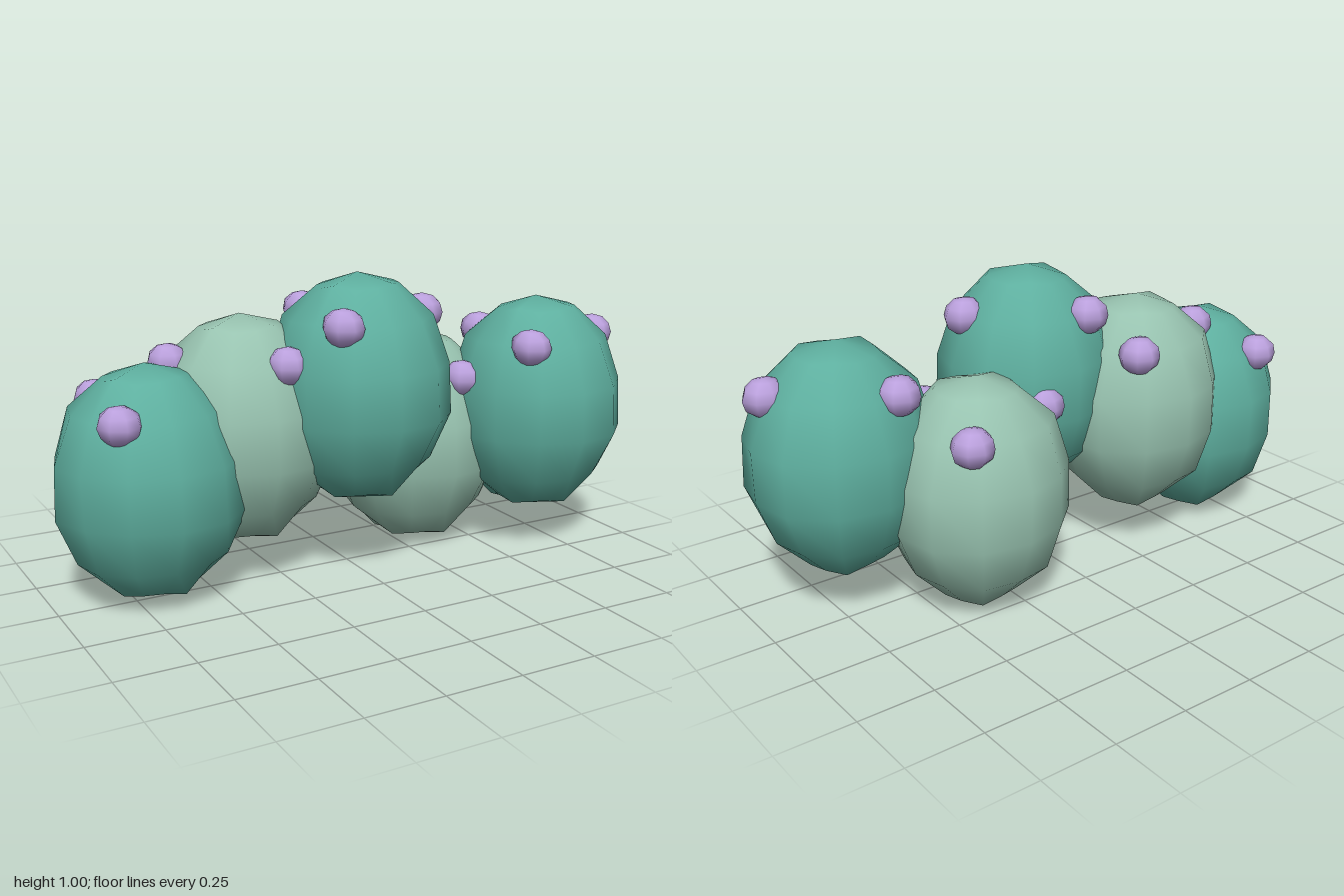
import * as THREE from 'three';
import { mergeVertices } from 'three/addons/utils/BufferGeometryUtils.js';

// Repeatable wobble in -1..1 for a point on the unit sphere
function wobble(p, seed) {
  return Math.sin(p.x * 9.1 + p.y * 5.3 + seed) * Math.cos(p.z * 8.3 - p.y * 4.7 + seed * 2);
}

// Low-poly ellipsoid with slightly uneven vertices and smooth normals
function lumpySphere(rx, ry, rz, sides, rings, amount, seed) {
  let geo = new THREE.SphereGeometry(1, sides, rings);
  geo.deleteAttribute('uv');
  geo.deleteAttribute('normal');
  geo = mergeVertices(geo, 1e-4);
  const pos = geo.attributes.position;
  const p = new THREE.Vector3();
  for (let i = 0; i < pos.count; i++) {
    p.fromBufferAttribute(pos, i);
    const atPole = Math.abs(p.y) > 0.999;
    const s = atPole ? 1 : 1 + amount * wobble(p, seed);
    pos.setXYZ(i, p.x * rx * s * (1 + 0.5 * amount * p.x), p.y * ry * s, p.z * rz * s * (1 + 0.5 * amount * p.z));
  }
  geo.computeVertexNormals();
  return geo;
}

export function createModel() {
  const model = new THREE.Group();
  model.name = 'segmentedBody';

  const teal = new THREE.MeshStandardMaterial({ color: 0x5eaf9f });
  const sage = new THREE.MeshStandardMaterial({ color: 0x98c3b0 });
  const lilac = new THREE.MeshStandardMaterial({ color: 0xbaa0dc });

  const bodyGeo = lumpySphere(0.307, 0.373, 0.29, 12, 7, 0.035, 1);
  const budGeo = lumpySphere(0.069, 0.061, 0.069, 8, 6, 0.04, 2);

  // Bud offsets from the centre of a segment: one set for teal, one for sage
  const tealBuds = [[0.225, 0.03], [-0.14, 0.168], [-0.095, -0.195]];
  const sageBuds = [[-0.23, -0.03], [0.14, -0.18], [0.073, 0.2]];

  // Row of overlapping egg-shaped segments: x, y, z, alternating colour
  const segments = [
    [-0.693, 0.385, -0.01],
    [-0.355, 0.5, -0.06],
    [-0.01, 0.625, 0.085],
    [0.33, 0.375, -0.12],
    [0.68, 0.5, 0.105],
  ];
  segments.forEach(([x, y, z], i) => {
    const segment = new THREE.Group();
    segment.name = `segment${i + 1}`;
    segment.position.set(x, y, z);

    const body = new THREE.Mesh(bodyGeo, i % 2 ? sage : teal);
    body.name = 'segmentBody';
    segment.add(body);

    (i % 2 ? sageBuds : tealBuds).forEach(([bx, bz]) => {
      const bud = new THREE.Mesh(budGeo, lilac);
      bud.name = 'bud';
      bud.position.set(bx, 0.232, bz);
      segment.add(bud);
    });
    model.add(segment);
  });

  return model;
}
